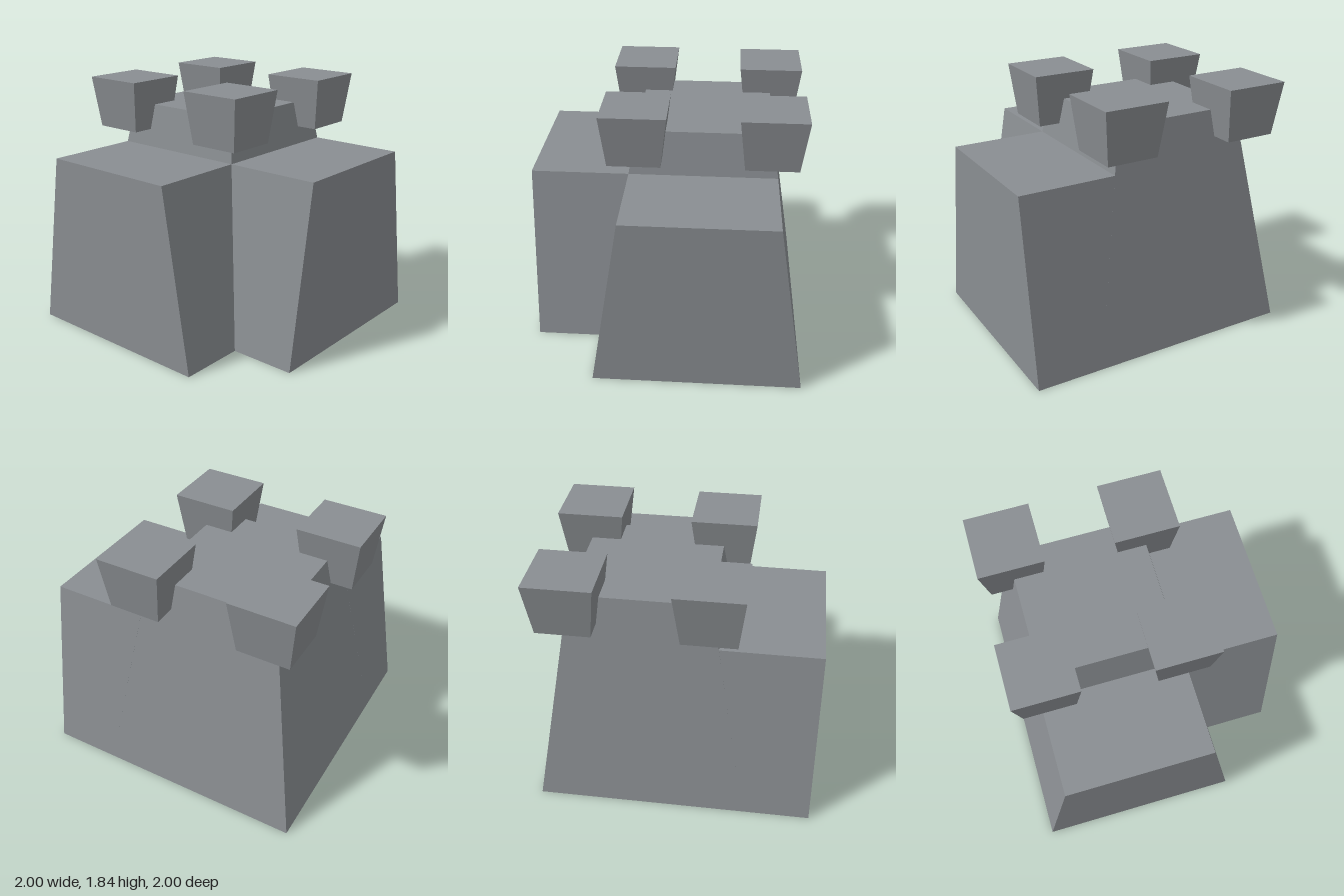
import * as THREE from 'three';

// Six-sided block between a bottom and a top rectangle, each [x0, x1, z0, z1]
function taperedBlock(bottom, top, y0, y1) {
  const geo = new THREE.BoxGeometry(1, 1, 1);
  const p = geo.attributes.position;
  for (let i = 0; i < p.count; i++) {
    const up = p.getY(i) > 0;
    const r = up ? top : bottom;
    p.setXYZ(i, p.getX(i) < 0 ? r[0] : r[1], up ? y1 : y0, p.getZ(i) < 0 ? r[2] : r[3]);
  }
  geo.computeVertexNormals();
  return geo;
}

export function createModel() {
  const model = new THREE.Group();
  model.name = 'cornerTower';
  const stone = new THREE.MeshStandardMaterial({ color: 0x8a8e92 });
  stone.name = 'grey stone';

  const add = (name, geo) => {
    const mesh = new THREE.Mesh(geo, stone);
    mesh.name = name;
    model.add(mesh);
    return mesh;
  };

  // Tapered tower at the corner
  add('towerCore', taperedBlock([-0.51, 1, -1, 0.51], [-0.24, 0.73, -0.73, 0.24], 0, 1.64));

  // Two wall stubs that meet the sloping tower faces
  add('frontWall', taperedBlock([-0.51, 1, 0.51, 1], [-0.293, 0.783, 0.293, 1], 0, 1.32));
  add('sideWall', taperedBlock([-1, -0.51, -1, 0.51], [-1, -0.293, -0.783, 0.293], 0, 1.32));

  // Flared battlement blocks on the four tower corners
  const b = 0.19, t = 0.235;
  for (const x of [-0.24, 0.73]) {
    for (const z of [-0.73, 0.24]) {
      const block = add('battlement', taperedBlock([-b, b, -b, b], [-t, t, -t, t], 1.45, 1.835));
      block.position.set(x, 0, z);
    }
  }
  return model;
}
